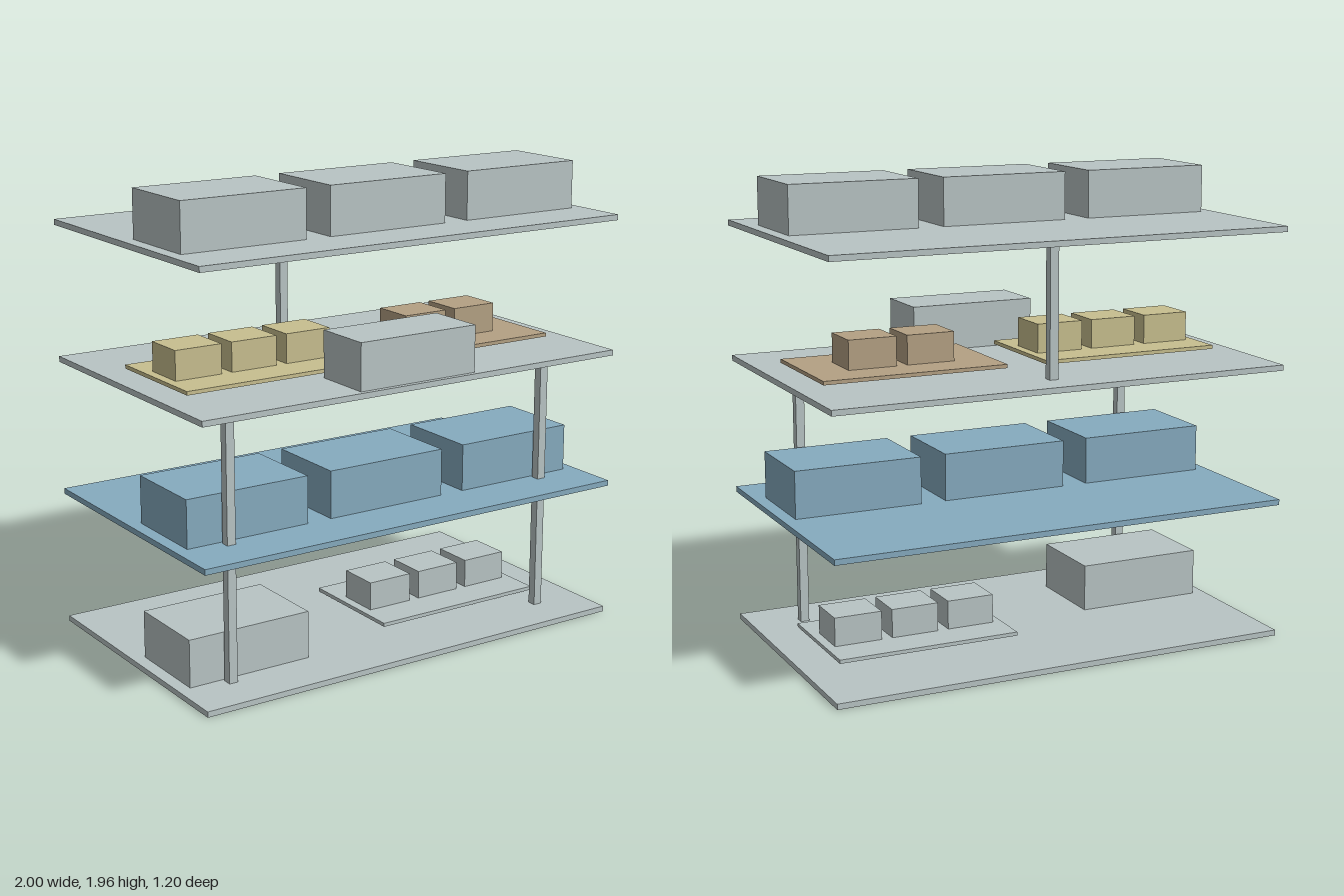
import * as THREE from 'three';

const material = (name, color) => {
  const m = new THREE.MeshStandardMaterial({ color });
  m.name = name;
  return m;
};

export function createModel() {
  const grey = material('pale grey', 0xb8c4c4);
  const blue = material('soft blue', 0x86abbf);
  const yellow = material('straw yellow', 0xc8bf8f);
  const brown = material('tan brown', 0xb4a184);

  const model = new THREE.Group();
  model.name = 'layeredStack';

  // Box standing on height y
  const block = (parent, name, mat, [w, h, d], x, y, z) => {
    const mesh = new THREE.Mesh(new THREE.BoxGeometry(w, h, d), mat);
    mesh.name = name;
    mesh.position.set(x, y + h / 2, z);
    parent.add(mesh);
  };

  const T = 0.024;          // deck thickness
  const STEP = 0.579;       // deck spacing

  const level = (name, i, mat) => {
    const g = new THREE.Group();
    g.name = name;
    g.position.y = i * STEP;
    block(g, 'deck', mat, [2, T, 1.2], 0, 0, 0);
    model.add(g);
    return g;
  };

  // Large blocks in the row of three
  const largeBlocks = (g, mat, xs) =>
    xs.forEach((x) => block(g, 'largeBlock', mat, [0.556, 0.202, 0.376], x, T, 0.178));

  // Tray raised just above the deck, carrying a row of small blocks
  const tray = (g, name, mat, x, count) => {
    const t = new THREE.Group();
    t.name = name;
    t.position.set(x, 0.036, 0.036);
    block(t, 'trayPlate', mat, [0.8, 0.016, 0.508], 0, 0, 0);
    for (let i = 0; i < count; i++) {
      block(t, 'smallBlock', mat, [0.209, 0.124, 0.188], (i - (count - 1) / 2) * 0.256, 0.016, 0);
    }
    g.add(t);
  };

  // Post from the top of one deck to the underside of the next
  const post = (g, x, z) => block(g, 'post', grey, [0.038, STEP - T, 0.038], x, T, z);

  const base = level('baseLevel', 0, grey);
  largeBlocks(base, grey, [-0.667]);
  tray(base, 'greyTray', grey, 0.443, 3);

  const second = level('blueLevel', 1, blue);
  largeBlocks(second, blue, [-0.667, 0, 0.667]);

  const third = level('trayLevel', 2, grey);
  block(third, 'frontBlock', grey, [0.556, 0.197, 0.264], 0, T, 0.447);
  tray(third, 'yellowTray', yellow, -0.489, 3);
  tray(third, 'brownTray', brown, 0.489, 2);

  const top = level('topLevel', 3, grey);
  largeBlocks(top, grey, [-0.667, 0, 0.667]);

  // Front pairs below, a single rear post above
  for (const g of [base, second]) for (const s of [-1, 1]) post(g, s * 0.777, 0.4);
  post(third, 0, -0.443);

  return model;
}
